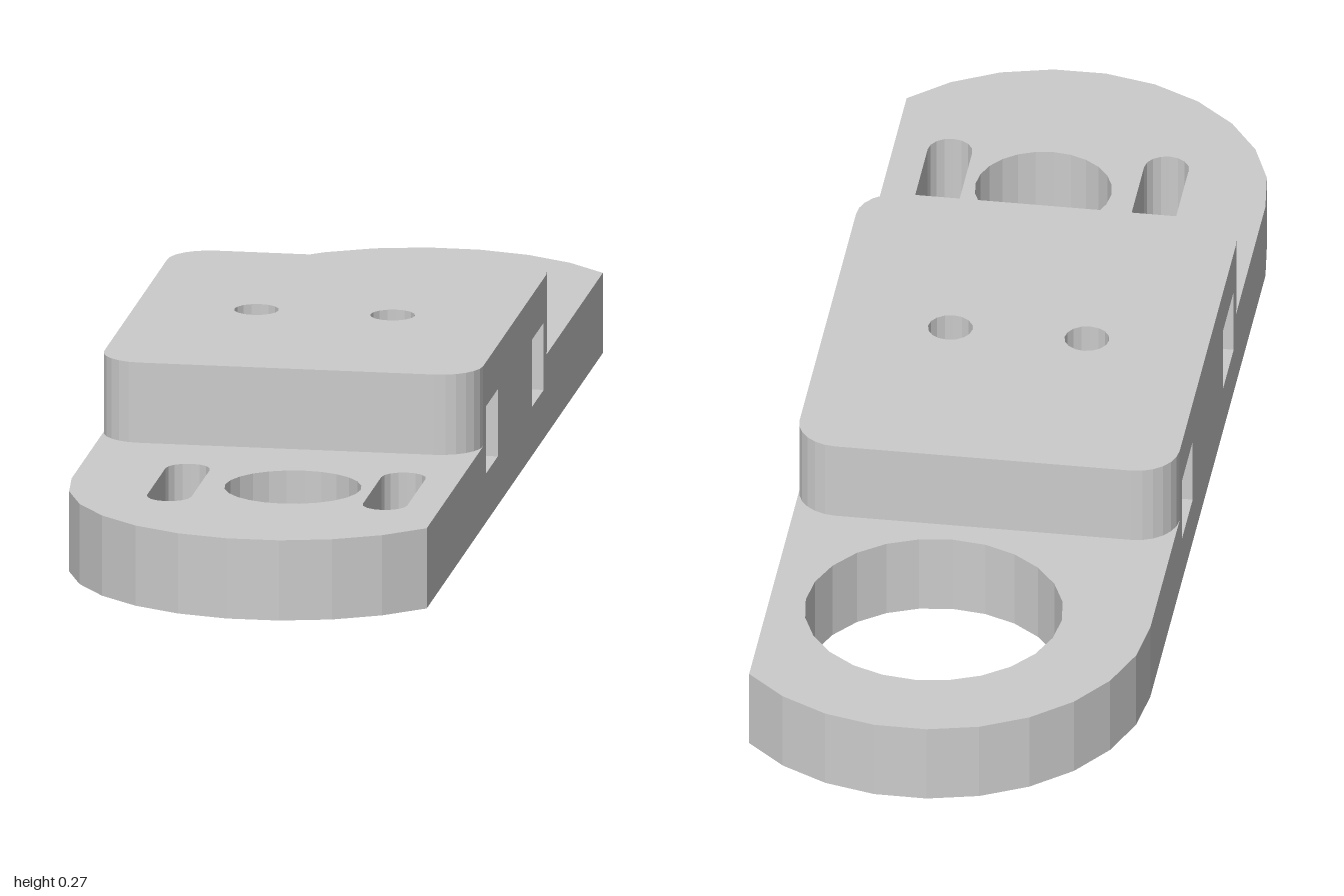
import * as THREE from 'three';

const W = 0.316;               // half width
const BASE = 0.136, TOP = 0.272; // heights of plate and raised block
const END = { x: 0.044, z: 0.64, r: 0.36 }; // rounded plate ends
const BLOCK = { z: 0.384, r: 0.07 };
const TUNNEL = { z: 0.228, half: 0.059, y0: 0.083, y1: 0.197 };

// Points are [x, z]; arcs run from +x towards +z.
function arc(cx, cz, r, from, to, n) {
  return Array.from({ length: n + 1 }, (_, i) => {
    const a = from + (to - from) * i / n;
    return [cx + r * Math.cos(a), cz + r * Math.sin(a)];
  });
}
const circle = (x, z, r, n = 24) => arc(x, z, r, 0, Math.PI * 2, n).slice(0, -1);
const slot = (x, z, r, half) => [
  ...arc(x, z + half, r, 0, Math.PI, 8),
  ...arc(x, z - half, r, Math.PI, Math.PI * 2, 8),
];
const mirrorZ = (pts) => pts.map(([x, z]) => [x, -z]).reverse();
const reversed = (pts) => [...pts].reverse();

// Faceted vertical wall along a path, facing away from a counter-clockwise loop
function wall(pts, y0, y1, closed = false) {
  const pos = [];
  const count = closed ? pts.length : pts.length - 1;
  for (let i = 0; i < count; i++) {
    const [ax, az] = pts[i], [bx, bz] = pts[(i + 1) % pts.length];
    pos.push(ax, y0, az, ax, y1, az, bx, y0, bz, bx, y0, bz, ax, y1, az, bx, y1, bz);
  }
  const g = new THREE.BufferGeometry();
  g.setAttribute('position', new THREE.Float32BufferAttribute(pos, 3));
  g.computeVertexNormals();
  return g;
}

// Flat face with holes
function face(outline, holes) {
  const toVec = (pts) => pts.map(([a, b]) => new THREE.Vector2(a, b));
  const shape = new THREE.Shape(toVec(outline));
  shape.holes = holes.map((h) => new THREE.Path(toVec(h)));
  return new THREE.ShapeGeometry(shape);
}
function cap(outline, holes, y, up) {
  const s = up ? -1 : 1;
  const flip = (pts) => pts.map(([x, z]) => [x, s * z]);
  return face(flip(outline), holes.map(flip)).rotateX(s * Math.PI / 2).translate(0, y, 0);
}

export function createModel() {
  const model = new THREE.Group();
  const material = new THREE.MeshStandardMaterial({ color: 0xcccccc, flatShading: true });
  const add = (name, geometry) => {
    const mesh = new THREE.Mesh(geometry, material);
    mesh.name = name;
    model.add(mesh);
  };

  // Front halves of the plate and block outlines, from +x round to -x
  const plateFront = arc(END.x, END.z, END.r, Math.acos((W - END.x) / END.r), Math.PI, 10);
  const cz = BLOCK.z - BLOCK.r, cx = W - BLOCK.r;
  const blockFront = [
    ...arc(cx, cz, BLOCK.r, 0, Math.PI / 2, 6),
    ...arc(-cx, cz, BLOCK.r, Math.PI / 2, Math.PI, 6),
  ];
  const plateBack = mirrorZ(plateFront), blockBack = mirrorZ(blockFront);

  // Vertical holes
  const pinHoles = [-0.115, 0.112].map((x) => circle(x, -0.002, 0.037, 16));
  const frontHoles = [
    circle(0.053, 0.638, 0.113),
    slot(-0.138, 0.638, 0.037, 0.091),
    slot(0.222, 0.638, 0.037, 0.091),
  ];
  const backHoles = [circle(0.044, -0.64, 0.213)];

  // Horizontal faces
  add('plateBottom', cap([...plateFront, ...plateBack],
    [...pinHoles, ...frontHoles, ...backHoles], 0, false));
  add('frontLedge', cap([...plateFront, ...reversed(blockFront)], frontHoles, BASE, true));
  add('backLedge', cap([...plateBack, ...reversed(blockBack)], backHoles, BASE, true));
  add('blockTop', cap([...blockFront, ...blockBack], pinHoles, TOP, true));

  // Rounded end walls
  add('plateFrontEnd', wall(plateFront, 0, BASE));
  add('plateBackEnd', wall(plateBack, 0, BASE));
  add('blockFrontWall', wall(blockFront, BASE, TOP));
  add('blockBackWall', wall(blockBack, BASE, TOP));

  // Flat long sides, stepped up at the block and pierced by the tunnels
  const tunnels = [-1, 1].map((s) => {
    const z0 = s * TUNNEL.z - TUNNEL.half, z1 = s * TUNNEL.z + TUNNEL.half;
    return [[z0, TUNNEL.y0], [z1, TUNNEL.y0], [z1, TUNNEL.y1], [z0, TUNNEL.y1]];
  });
  for (const [name, s, end] of [
    ['leftSide', 1, plateFront[0][1]],
    ['rightSide', -1, END.z],
  ]) {
    const outline = [[-end, 0], [end, 0], [end, BASE], [cz, BASE],
      [cz, TOP], [-cz, TOP], [-cz, BASE], [-end, BASE]];
    add(name, face(outline, tunnels).rotateY(s * Math.PI / 2).translate(s * W, 0, 0));
  }

  // Square cross tunnels, open at both sides
  for (const t of tunnels) {
    const loop = t.map(([z, y]) => [y, z]); // clockwise, so walls face inward
    add('crossTunnel', wall(loop, -W, W, true).rotateZ(Math.PI / 2));
  }

  // Walls of the vertical holes
  pinHoles.forEach((h) => add('pinHole', wall(reversed(h), 0, TOP, true)));
  frontHoles.forEach((h, i) => add(i ? 'slotWall' : 'smallBore', wall(reversed(h), 0, BASE, true)));
  backHoles.forEach((h) => add('largeBore', wall(reversed(h), 0, BASE, true)));

  return model;
}
